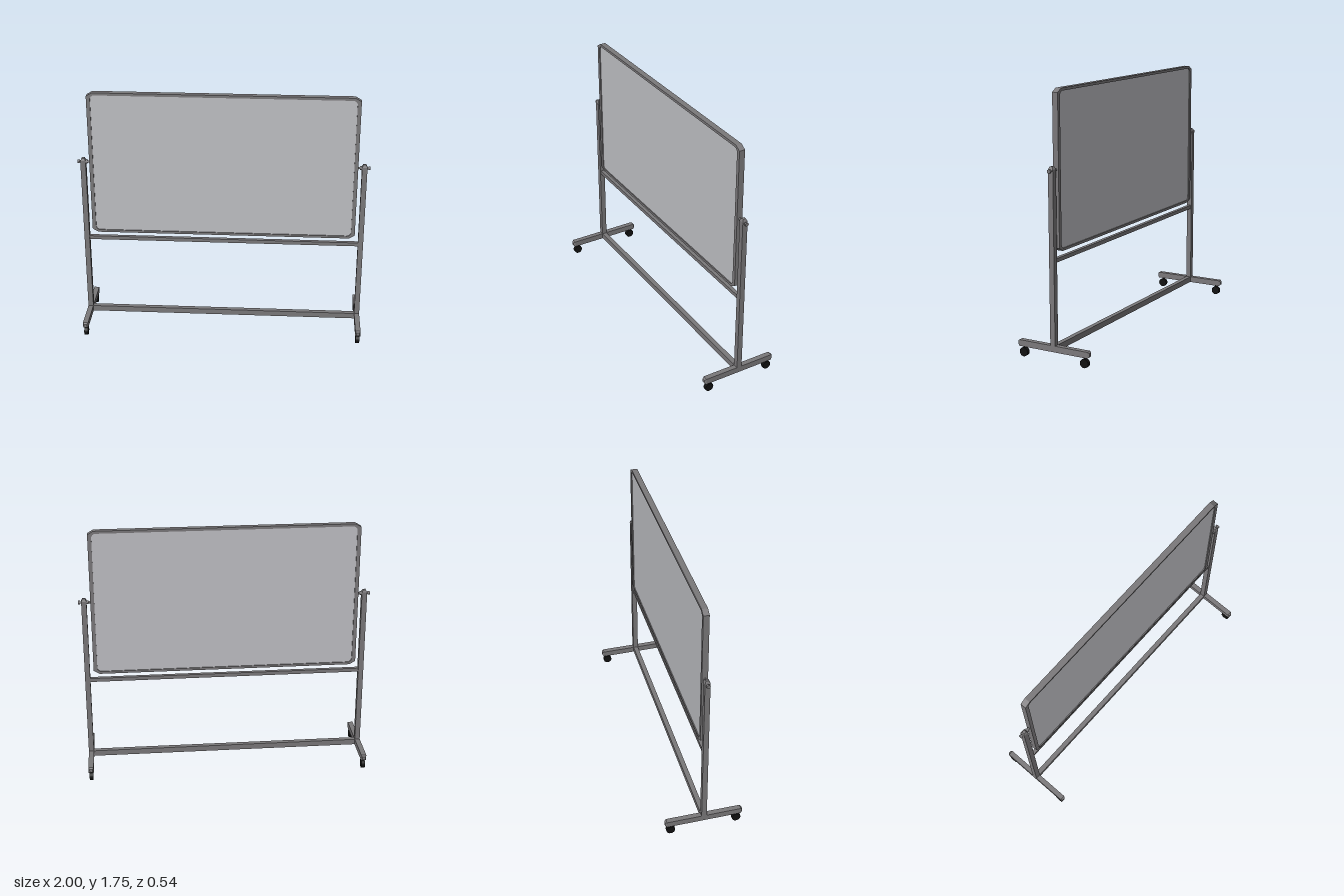
import * as THREE from 'three';

const frameMat = new THREE.MeshStandardMaterial({ color: 0x7b797b });
frameMat.name = 'grey metal';
const panelMat = new THREE.MeshStandardMaterial({ color: 0xc0c1c5 });
panelMat.name = 'pale board';
const wheelMat = new THREE.MeshStandardMaterial({ color: 0x111111 });
wheelMat.name = 'black rubber';

function add(parent, name, geo, mat, x = 0, y = 0, z = 0) {
  const mesh = new THREE.Mesh(geo, mat);
  mesh.name = name;
  mesh.position.set(x, y, z);
  parent.add(mesh);
  return mesh;
}

// Square bar along y with tapered caps; taperBottom caps the lower end as well
function cappedBar(w, length, d, cap, taperBottom) {
  const geo = new THREE.BoxGeometry(w, length, d, 1, 3, 1);
  const p = geo.attributes.position;
  const h = length / 2;
  for (let i = 0; i < p.count; i++) {
    const y = p.getY(i);
    const end = Math.abs(y) > h - 1e-4;
    const capped = y > 0 || taperBottom;
    if (end && capped) {
      p.setX(i, p.getX(i) * 0.55);
      p.setZ(i, p.getZ(i) * 0.55);
    } else if (!end) p.setY(i, Math.sign(y) * (h - cap));
  }
  const flat = geo.toNonIndexed();
  flat.computeVertexNormals();
  return flat;
}

// Rectangle with cut corners
function cutRect(x0, y0, x1, y1, cx, cy) {
  return new THREE.Shape([
    [x0 + cx, y0], [x1 - cx, y0], [x1, y0 + cy], [x1, y1 - cy],
    [x1 - cx, y1], [x0 + cx, y1], [x0, y1 - cy], [x0, y0 + cy],
  ].map(([x, y]) => new THREE.Vector2(x, y)));
}

// Rectangle with rounded corners, as a path
function roundRect(x0, y0, x1, y1, r) {
  const p = new THREE.Path();
  p.absarc(x1 - r, y0 + r, r, -Math.PI / 2, 0);
  p.absarc(x1 - r, y1 - r, r, 0, Math.PI / 2);
  p.absarc(x0 + r, y1 - r, r, Math.PI / 2, Math.PI);
  p.absarc(x0 + r, y0 + r, r, Math.PI, Math.PI * 1.5);
  p.closePath();
  return p;
}

function makeCaster() {
  const caster = new THREE.Group();
  caster.name = 'caster';
  const wheel = new THREE.CylinderGeometry(0.03, 0.03, 0.026, 20).rotateZ(Math.PI / 2);
  add(caster, 'wheel', wheel, wheelMat, 0, 0.03, 0);
  add(caster, 'casterStem', new THREE.CylinderGeometry(0.007, 0.007, 0.03, 10), wheelMat, 0, 0.06, 0);
  return caster;
}

export function createModel() {
  const model = new THREE.Group();
  model.name = 'mobileWhiteboard';

  // Board: frame around a double-sided panel
  const board = new THREE.Group();
  board.name = 'board';
  model.add(board);
  const frame = cutRect(-0.918, 0.715, 0.918, 1.75, 0.04, 0.024);
  frame.holes.push(roundRect(-0.892, 0.732, 0.892, 1.732, 0.03));
  const frameGeo = new THREE.ExtrudeGeometry(frame, { depth: 0.04, bevelEnabled: false, curveSegments: 6 });
  add(board, 'boardFrame', frameGeo, frameMat, 0, 0, -0.02);
  add(board, 'panel', new THREE.BoxGeometry(1.79, 1.006, 0.026), panelMat, 0, 1.232, 0);

  // Rails between the posts
  add(model, 'upperRail', new THREE.BoxGeometry(1.9, 0.026, 0.026), frameMat, 0, 0.665, 0);
  add(model, 'lowerRail', new THREE.BoxGeometry(1.9, 0.04, 0.034), frameMat, 0, 0.09, 0);

  for (const s of [1, -1]) {
    const side = new THREE.Group();
    side.name = s > 0 ? 'leftStand' : 'rightStand';
    side.position.x = s * 0.962;
    model.add(side);

    // Upright with a capped top
    add(side, 'post', cappedBar(0.036, 1.175, 0.036, 0.018, false), frameMat, 0, 0.6825, 0);

    // Foot bar and its casters
    const foot = add(side, 'foot', cappedBar(0.036, 0.54, 0.042, 0.012, true), frameMat, 0, 0.09, 0);
    foot.rotation.x = Math.PI / 2;
    for (const z of [0.23, -0.23]) {
      const caster = makeCaster();
      caster.position.z = z;
      side.add(caster);
    }

    // Pivot pin through the post, with an outer knob
    const pin = new THREE.CylinderGeometry(0.008, 0.008, 0.1, 12).rotateZ(Math.PI / 2);
    add(side, 'pivotPin', pin, frameMat, -s * 0.012, 1.243, 0);
    const washer = new THREE.CylinderGeometry(0.013, 0.013, 0.012, 12).rotateZ(Math.PI / 2);
    add(side, 'pivotKnob', washer, frameMat, s * 0.032, 1.243, 0);
    add(side, 'pivotWasher', washer, frameMat, -s * 0.024, 1.243, 0);
  }
  return model;
}
